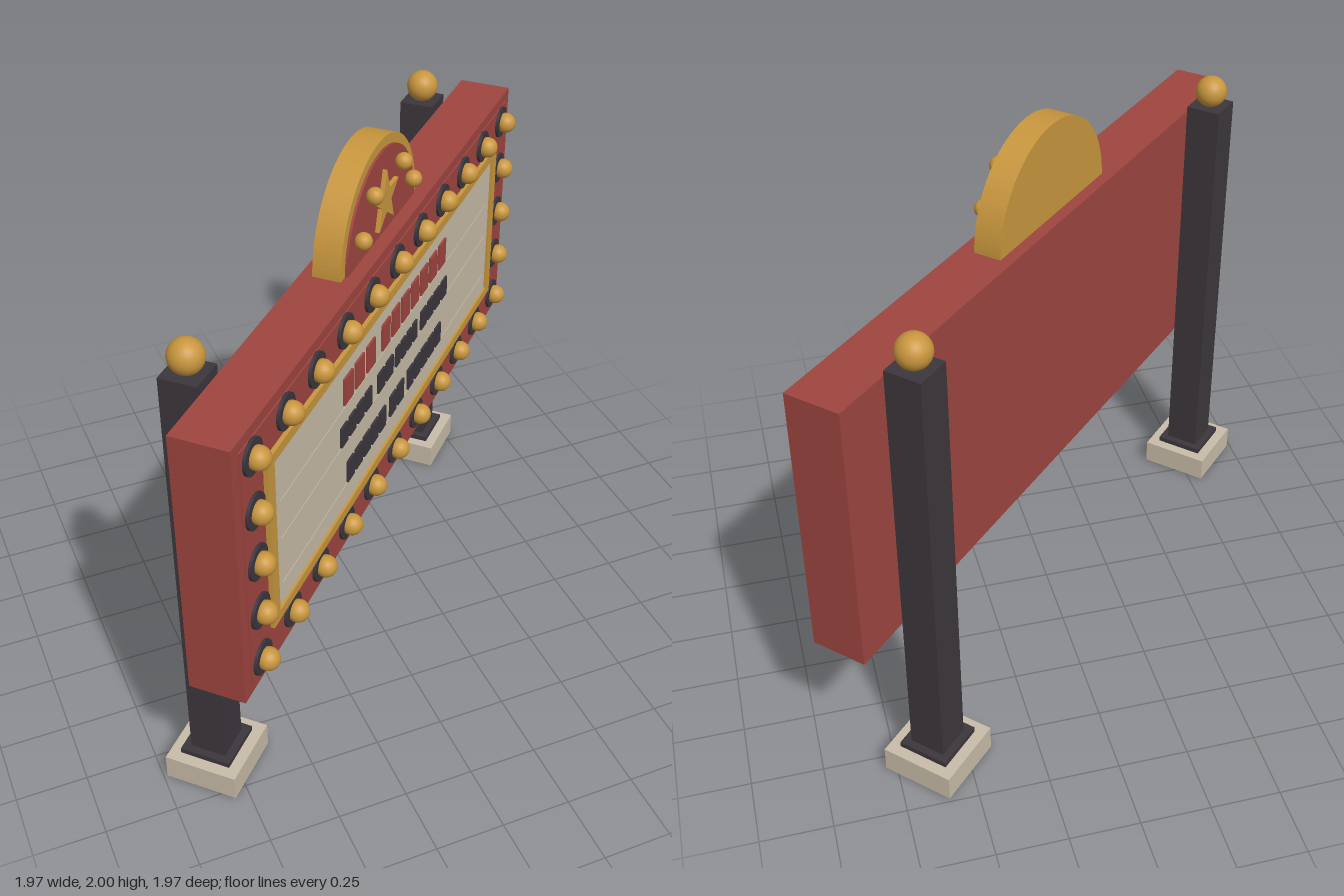
import * as THREE from 'three';

const mat = (name, color, side = THREE.FrontSide) => {
  const m = new THREE.MeshStandardMaterial({ color, side });
  m.name = name;
  return m;
};

export function createModel() {
  const red = mat('barn red', 0x9e4540);
  const gold = mat('warm gold', 0xc8963e);
  const dark = mat('charcoal', 0x3b363c);
  const cream = mat('cream stone', 0xc8bca8);

  const root = new THREE.Group();
  root.name = 'marqueeSign';
  const sign = new THREE.Group();
  sign.name = 'sign';
  sign.rotation.y = Math.PI / 4; // the board faces diagonally
  root.add(sign);

  const add = (name, geo, material, x, y, z) => {
    const m = new THREE.Mesh(geo, material);
    m.name = name;
    m.position.set(x, y, z);
    sign.add(m);
    return m;
  };
  // box given by its centre x, and its ranges in y and z
  const box = (name, material, x, w, y0, y1, z0, z1) =>
    add(name, new THREE.BoxGeometry(w, y1 - y0, z1 - z0), material, x, (y0 + y1) / 2, (z0 + z1) / 2);
  const extrude = (shape, depth, curveSegments = 32) =>
    new THREE.ExtrudeGeometry(shape, { depth, bevelEnabled: false, curveSegments });

  // posts with footing, flange and ball finial
  for (const s of [-1, 1]) {
    const x = s * 0.99, z = -0.141;
    const square = (name, material, w, y0, y1) => box(name, material, x, w, y0, y1, z - w / 2, z + w / 2);
    square('footing', cream, 0.265, 0, 0.095);
    square('postFlange', dark, 0.185, 0.095, 0.115);
    square('post', dark, 0.13, 0.115, 1.685);
    add('finial', new THREE.SphereGeometry(0.059, 24, 16), gold, x, 1.738, z);
  }

  // cabinet and slightly raised front panel
  box('cabinet', red, 0, 2.518, 0.668, 1.66, -0.07, 0.127);
  box('frontPanel', red, 0, 2.43, 0.705, 1.623, 0.12, 0.132);

  // letter board, gold frame and letter rails
  box('letterBoard', cream, 0, 2.06, 0.862, 1.462, 0.125, 0.138);
  const cy = 1.162;
  const rect = (Type, w, h) => new Type([[-w, -h], [w, -h], [w, h], [-w, h]].map(([x, y]) => new THREE.Vector2(x, y)));
  const frame = rect(THREE.Shape, 1.074, 0.333);
  frame.holes.push(rect(THREE.Path, 1.027, 0.297));
  add('letterBoardFrame', extrude(frame, 0.02), gold, 0, cy, 0.127);
  for (const y of [1.273, 1.125, 0.944]) box('letterRail', cream, 0, 1.97, y - 0.004, y + 0.004, 0.135, 0.14);

  // rows of plain letter tiles: words as [start, end, count]
  const rows = [
    { y0: 1.292, y1: 1.395, gap: 0.026, material: red, words: [[-0.488, -0.217, 3], [-0.15, 0.488, 7]] },
    { y0: 1.138, y1: 1.215, gap: 0.018, material: dark,
      words: [[-0.516, -0.247, 4], [-0.187, -0.045, 2], [-0.015, 0.195, 4], [0.24, 0.516, 4]] },
    { y0: 0.955, y1: 1.04, gap: 0.018, material: dark,
      words: [[-0.464, -0.112, 5], [-0.067, 0.067, 2], [0.112, 0.464, 5]] },
  ];
  for (const { y0, y1, gap, material, words } of rows) {
    for (const [start, end, n] of words) {
      const w = (end - start - gap * (n - 1)) / n;
      for (let i = 0; i < n; i++) {
        box('letterTile', material, start + w / 2 + i * (w + gap), w, y0, y1, 0.136, 0.146);
      }
    }
  }

  // chaser bulbs in dark sockets around the panel
  const socketGeo = new THREE.CylinderGeometry(0.06, 0.06, 0.012, 24).rotateX(Math.PI / 2);
  const bulbGeo = new THREE.SphereGeometry(0.039, 20, 14);
  const bulb = (x, y) => {
    add('bulbSocket', socketGeo, dark, x, y, 0.136);
    add('bulb', bulbGeo, gold, x, y, 0.156);
  };
  for (let i = 0; i < 11; i++) {
    const x = -1.145 + i * 0.229;
    bulb(x, 1.565);
    bulb(x, 0.768);
  }
  for (const y of [1.364, 1.166, 0.967]) {
    bulb(-1.145, y);
    bulb(1.145, y);
  }

  // arched crest with red face
  const halfDisc = (r) => new THREE.Shape().absarc(0, 0, r, 0, Math.PI, false);
  add('crest', extrude(halfDisc(0.34), 0.099), gold, 0, 1.66, -0.028);
  add('crestFace', extrude(halfDisc(0.305), 0.012), red, 0, 1.66, 0.068);

  // five-pointed star
  const star = new THREE.Shape(Array.from({ length: 10 }, (_, i) => {
    const a = Math.PI / 2 + (i * Math.PI) / 5, r = i % 2 ? 0.044 : 0.112;
    return new THREE.Vector2(r * Math.cos(a), r * Math.sin(a));
  }));
  add('star', extrude(star, 0.018), gold, 0, 1.79, 0.078);

  // small bulbs following the arch
  const smallBulb = new THREE.SphereGeometry(0.03, 16, 12);
  for (const s of [-1, 1]) {
    for (const a of [0.41, 1.02]) {
      add('crestBulb', smallBulb, gold, s * 0.25 * Math.cos(a), 1.66 + 0.25 * Math.sin(a), 0.105);
    }
  }

  return root;
}
